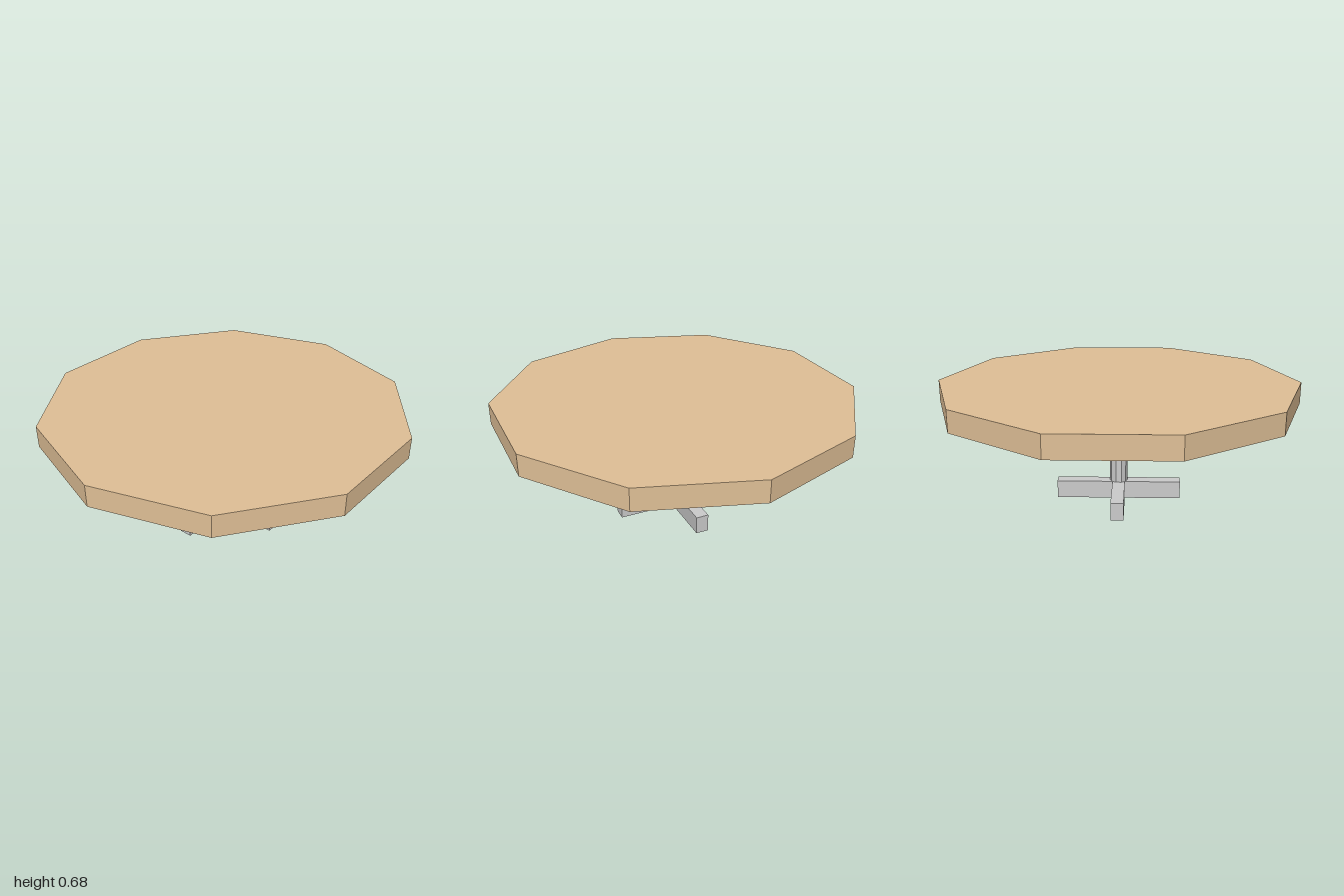
import * as THREE from 'three';

export function createModel() {
  const table = new THREE.Group();
  table.name = 'table';
  const wood = new THREE.MeshStandardMaterial({ color: 0xe0c097, flatShading: true });
  const metal = new THREE.MeshStandardMaterial({ color: 0xcccccc, flatShading: true });

  function add(name, geometry, material, y) {
    const mesh = new THREE.Mesh(geometry, material);
    mesh.name = name;
    mesh.position.y = y;
    table.add(mesh);
    return mesh;
  }

  // Ten-sided top, with corners on the z axis
  add('tableTop', new THREE.CylinderGeometry(1, 1, 0.12, 10), wood, 0.62);

  // Central post, sunk slightly into the foot
  add('post', new THREE.CylinderGeometry(0.05, 0.05, 0.48, 10), metal, 0.32);

  // Two crossed bars make the foot
  ['footBarAcross', 'footBarDeep'].forEach((name, i) => {
    const bar = add(name, new THREE.BoxGeometry(0.7, 0.1, 0.07), metal, 0.05);
    bar.rotation.y = i * Math.PI / 2;
  });

  return table;
}
